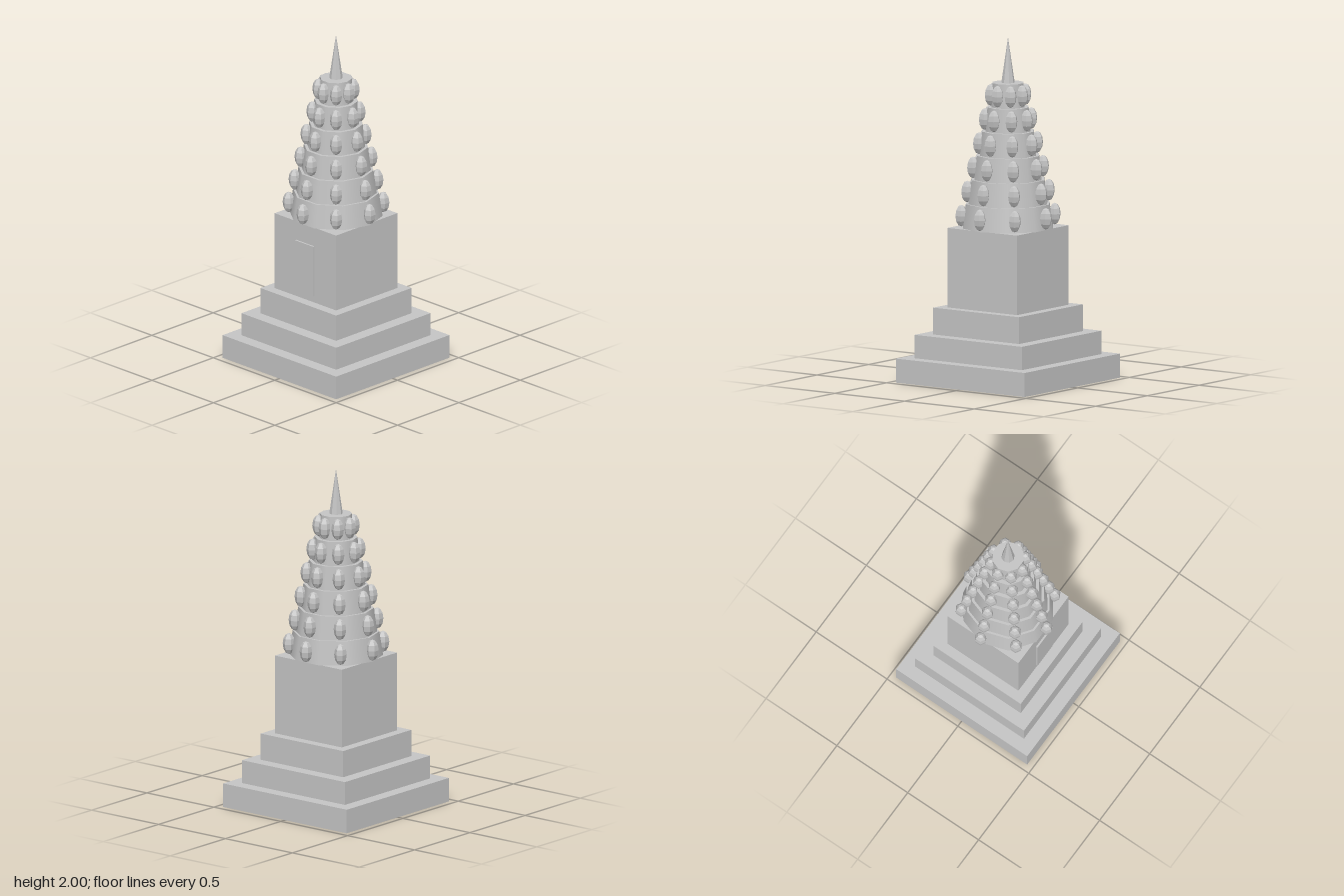
import * as THREE from 'three';

export function createModel() {
  const model = new THREE.Group();
  model.name = 'steppedTower';
  const stone = new THREE.MeshStandardMaterial({ color: 0xc4c4c4 });
  stone.name = 'grey stone';

  function add(name, geometry, x, y, z, parent = model) {
    const mesh = new THREE.Mesh(geometry, stone);
    mesh.name = name;
    mesh.position.set(x, y, z);
    parent.add(mesh);
    return mesh;
  }

  // Gives each face its own normal
  function faceted(geometry) {
    const flat = geometry.toNonIndexed();
    flat.computeVertexNormals();
    return flat;
  }

  // Square plinth steps and the main chamber: [name, width, bottom, top]
  const blocks = [
    ['lowerStep', 0.924, 0, 0.14],
    ['middleStep', 0.77, 0.14, 0.276],
    ['upperStep', 0.616, 0.276, 0.432],
    ['chamber', 0.5, 0.432, 0.895],
  ];
  for (const [name, width, bottom, top] of blocks) {
    add(name, new THREE.BoxGeometry(width, top - bottom, width), 0, (bottom + top) / 2, 0);
  }

  // Door panel on the front of the chamber
  add('door', new THREE.BoxGeometry(0.15, 0.306, 0.02), 0, 0.627, 0.251);

  // Six tapering tiers, each ringed with eight upright oval beads
  const tierHeight = 0.14;
  const beadGeometry = faceted(
    new THREE.SphereGeometry(0.037, 6, 6).rotateY(Math.PI / 2).scale(1, 1.7, 1)
  );
  for (let i = 0; i < 6; i++) {
    const radius = 0.272 - 0.0342 * i;
    const y = 0.895 + tierHeight * (i + 0.5);
    const tier = new THREE.Group();
    tier.name = `tier${i + 1}`;
    model.add(tier);
    const body = new THREE.CylinderGeometry(radius * 0.92, radius, tierHeight, 10);
    body.rotateY(Math.PI / 2);
    add('tierBody', body, 0, y, 0, tier);
    for (let k = 0; k < 8; k++) {
      const a = (k * Math.PI) / 4;
      add('bead', beadGeometry, radius * Math.cos(a), y, radius * Math.sin(a), tier);
    }
  }

  // Pointed finial
  const spire = faceted(new THREE.ConeGeometry(0.039, 0.265, 8));
  add('spire', spire, 0, 1.735 + 0.1325, 0);

  return model;
}
